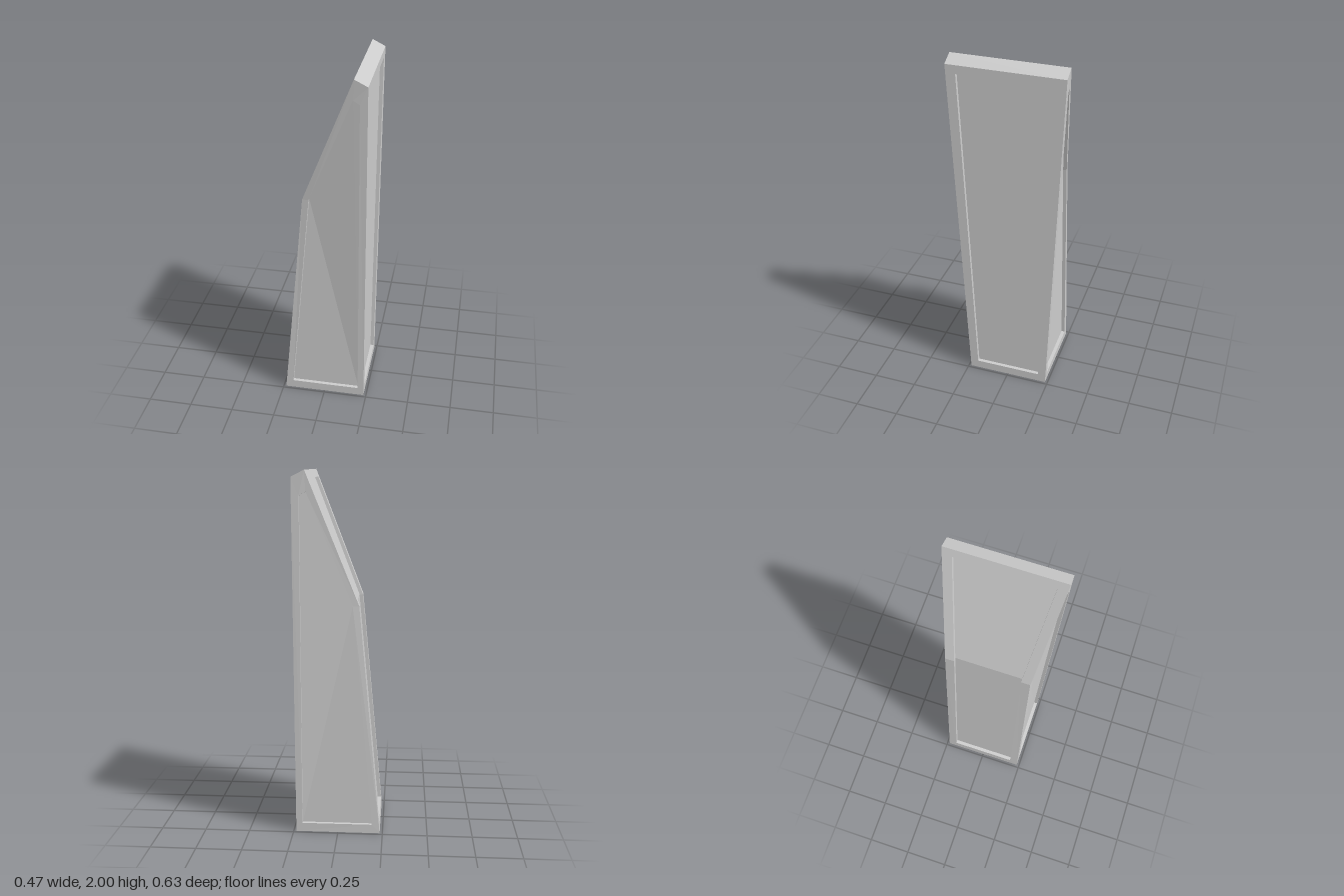
import * as THREE from 'three';

// Side profile corners [x, y, half width]: outer edge and panel opening
const OUTER = [[0.235, 0, 0.235], [0.235, 1.965, 0.315], [0.165, 2, 0.315], [-0.115, 1.29, 0.238], [-0.235, 0, 0.235]];
const INNER = [[0.2, 0.05, 0.237], [0.195, 1.87, 0.31], [0.16, 1.89, 0.306], [-0.08, 1.29, 0.243], [-0.19, 0.05, 0.236]];
const DEPTH = 0.02;

const material = new THREE.MeshStandardMaterial({ color: 0xcccccc, flatShading: true });

// Mesh from planar polygons, each fanned from its first corner
function polyMesh(name, polygons) {
  const positions = [];
  for (const p of polygons) {
    for (let i = 1; i < p.length - 1; i++) positions.push(...p[0], ...p[i], ...p[i + 1]);
  }
  const geometry = new THREE.BufferGeometry();
  geometry.setAttribute('position', new THREE.Float32BufferAttribute(positions, 3));
  geometry.computeVertexNormals();
  const mesh = new THREE.Mesh(geometry, material);
  mesh.name = name;
  return mesh;
}

// Framed face with a sunken floor; loops run counter-clockwise seen from outside
function recessedFace(name, outer, inner, sink, floorFaces = [inner.map((_, i) => i)]) {
  const floor = inner.map((p) => p.map((v, k) => v + sink[k]));
  const frame = [], recess = floorFaces.map((f) => f.map((i) => floor[i]));
  outer.forEach((p, i) => {
    const j = (i + 1) % outer.length;
    frame.push([p, outer[j], inner[j], inner[i]]);
    recess.push([inner[i], inner[j], floor[j], floor[i]]);
  });
  const group = new THREE.Group();
  group.name = name;
  group.add(polyMesh(name + 'Frame', frame), polyMesh(name + 'Recess', recess));
  return group;
}

// Mirror a loop across z, keeping its first corner and its outward facing
const mirrorZ = (loop) => [loop[0], ...loop.slice(1).reverse()].map(([x, y, z]) => [x, y, -z]);
// Close a half outline (given at +z) with its mirrored half
const bothHalves = (half) => [...half, ...half.map(([x, y, z]) => [x, y, -z]).reverse()];

export function createModel() {
  const model = new THREE.Group();
  model.name = 'taperedPillar';
  const [rightBase, rightTop, peak, bend, leftBase] = OUTER;

  // Two five-sided side panels
  model.add(recessedFace('frontPanel', OUTER, INNER, [0, 0, -DEPTH]));
  model.add(recessedFace('backPanel', mirrorZ(OUTER), mirrorZ(INNER), [0, 0, DEPTH]));

  // Straight upright panel
  model.add(recessedFace('uprightPanel',
    bothHalves([rightTop, rightBase]),
    bothHalves([[0.235, 1.92, 0.26], [0.235, 0.05, 0.19]]),
    [-DEPTH, 0, 0]));

  // Folded sloping panel
  model.add(recessedFace('slopingPanel',
    bothHalves([leftBase, bend, peak]),
    bothHalves([[-0.231, 0.05, 0.187], [-0.115, 1.29, 0.187], [0.148, 1.957, 0.26]]),
    [DEPTH, 0, 0], [[0, 1, 4, 5], [1, 2, 3, 4]]));

  // Plain caps
  model.add(polyMesh('topCap', [bothHalves([peak, rightTop])]));
  model.add(polyMesh('base', [bothHalves([rightBase, leftBase])]));
  return model;
}
